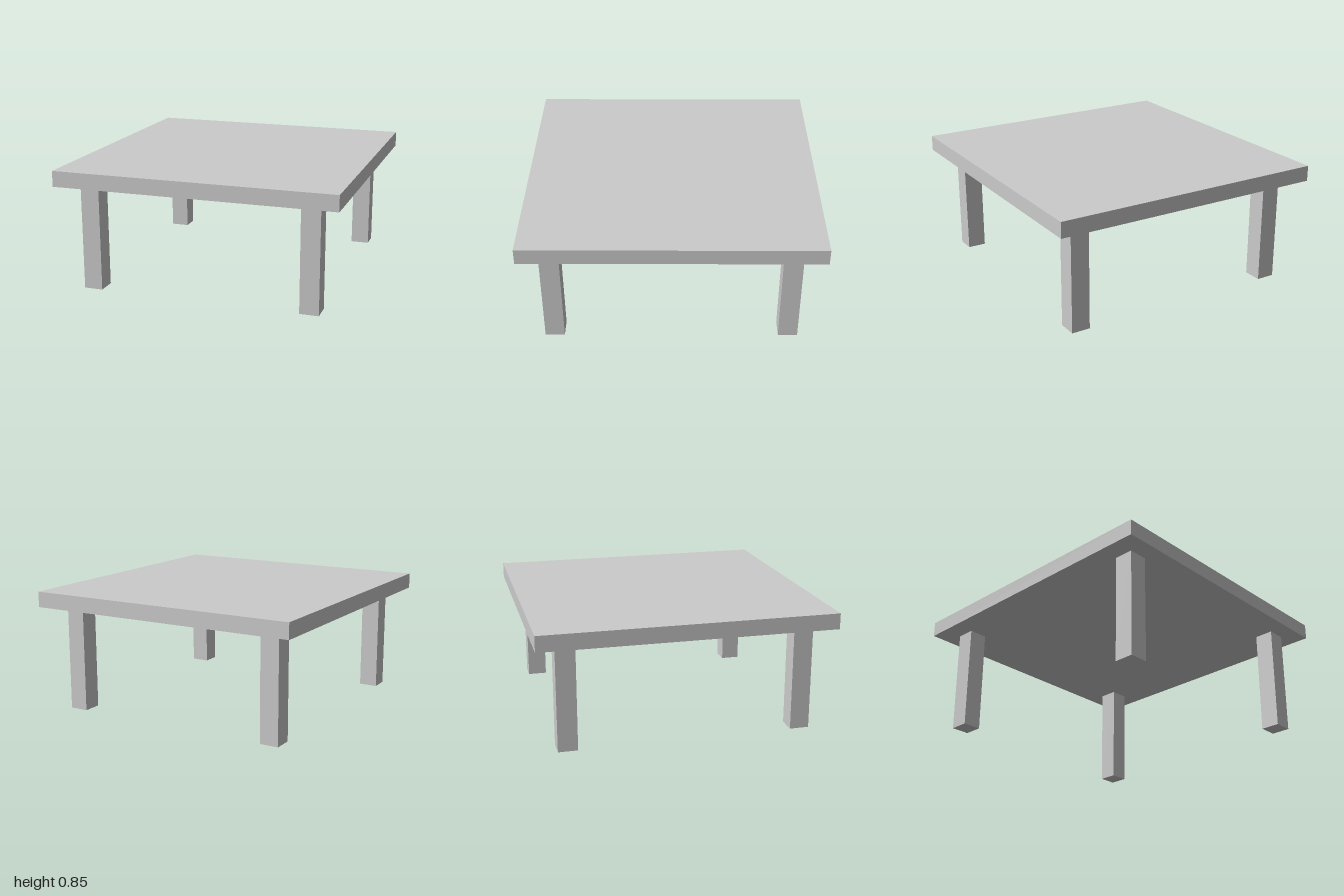
import * as THREE from 'three';

export function createModel() {
  const group = new THREE.Group();
  const material = new THREE.MeshStandardMaterial({ color: 0xcccccc });

  const addBox = (name, [w, h, d], [x, y, z]) => {
    const mesh = new THREE.Mesh(new THREE.BoxGeometry(w, h, d), material);
    mesh.name = name;
    mesh.position.set(x, y, z);
    group.add(mesh);
  };

  // Table top: a thick slab
  const legHeight = 0.737;
  const topThickness = 0.108;
  addBox('tableTop', [1.932, topThickness, 2], [0, legHeight + topThickness / 2, 0]);

  // Four square legs, set in from the corners
  for (const [side, x] of [['Left', 0.76], ['Right', -0.763]]) {
    for (const [end, z] of [['front', 0.806], ['back', -0.796]]) {
      addBox(`${end}${side}Leg`, [0.13, legHeight, 0.133], [x, legHeight / 2, z]);
    }
  }

  return group;
}
